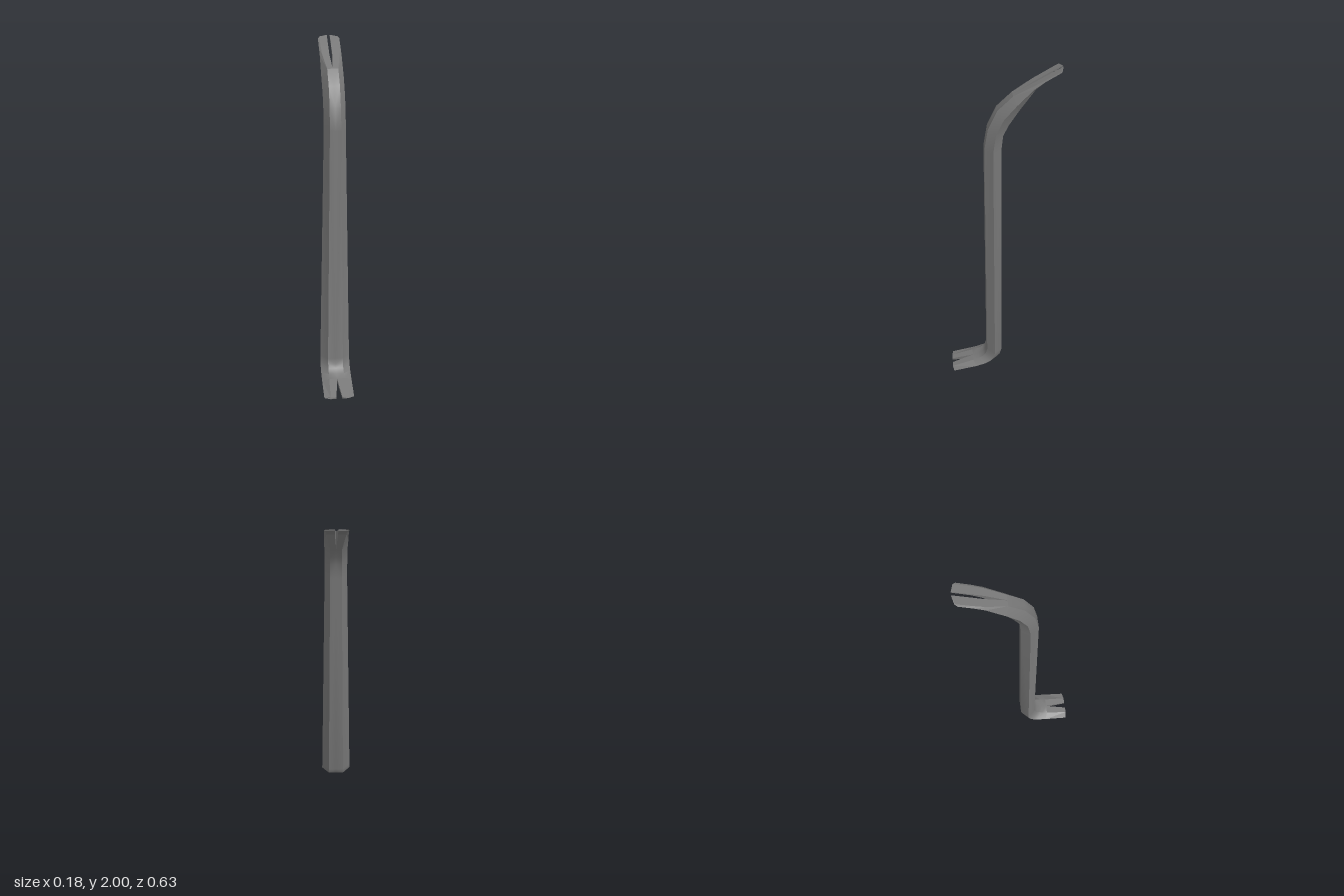
import * as THREE from 'three';
import { toCreasedNormals } from 'three/addons/utils/BufferGeometryUtils.js';

// Cross-sections from the foot claw to the head claw:
// front z, y | back z, y | half-widths of ridge, flat, slot | z setback of flat and ridge corners
const SECTIONS = [
  [0.312, 0.012, 0.312, 0.0, 0.088, 0.051, 0.017, 0, 0.007],
  [0.18, 0.05, 0.15, 0.018, 0.089, 0.047, 0, 0, 0],
  [0.145, 0.062, 0.07, 0.043, 0.089, 0.046, 0, 0, 0],
  [0.115, 0.08, 0.035, 0.062, 0.089, 0.045, 0, 0, 0],
  [0.1, 0.1, 0.012, 0.087, 0.089, 0.045, 0, 0, 0],
  [0.09, 0.135, 0.0, 0.13, 0.088, 0.045, 0, 0, 0],
  [0.09, 1.56, 0.0, 1.55, 0.06, 0.031, 0, 0, 0],
  [0.07, 1.68, -0.01, 1.64, 0.06, 0.03, 0, 0, 0],
  [0.02, 1.785, -0.04, 1.7, 0.06, 0.03, 0, 0, 0],
  [-0.06, 1.86, -0.09, 1.776, 0.061, 0.03, 0, 0, 0],
  [-0.165, 1.92, -0.172, 1.9, 0.06, 0.048, 0.008, 0, 0],
  [-0.22, 1.95, -0.222, 1.941, 0.06, 0.05, 0.008, 0, 0],
  [-0.312, 2.0, -0.314, 1.995, 0.06, 0.05, 0.008, -0.012, -0.024],
];
const LAST = SECTIONS.length - 1;

// Five points of one half of a bevelled section, from the slot round to the slot
function halfRing([fz, fy, bz, by, w, f, s, flatBack, ridgeBack], side) {
  // corners of the sloping head tip also drop as they are set back
  const p = (x, y, z, back) => [x * side, y + 0.55 * Math.min(0, back), z - back];
  return [
    p(s, fy, fz, 0), p(f, fy, fz, flatBack),
    p(w, (fy + by) / 2, (fz + bz) / 2, ridgeBack),
    p(f, by, bz, flatBack), p(s, by, bz, 0),
  ];
}

// Lofts the sections from first to last, mirrored in x
function loft(first, last, creaseDegrees) {
  const pos = [];
  for (const side of [1, -1]) {
    const tri = (a, b, c) => pos.push(...a, ...(side > 0 ? b : c), ...(side > 0 ? c : b));
    const rings = SECTIONS.map((section) => halfRing(section, side));
    for (let r = first; r < last; r++) {
      const lo = rings[r], hi = rings[r + 1];
      const slotted = SECTIONS[r][6] > 0 || SECTIONS[r + 1][6] > 0;
      // the fifth strip is the slot wall, only needed in the claws
      for (let i = 0; i < (slotted ? 5 : 4); i++) {
        const j = (i + 1) % 5;
        tri(lo[i], lo[j], hi[j]);
        tri(lo[i], hi[j], hi[i]);
      }
    }
    // claw tip caps
    const start = rings[0], end = rings[LAST];
    for (let i = 1; i < 4; i++) {
      if (first === 0) tri(start[0], start[i + 1], start[i]);
      if (last === LAST) tri(end[0], end[i], end[i + 1]);
    }
  }
  const geo = new THREE.BufferGeometry();
  geo.setAttribute('position', new THREE.Float32BufferAttribute(pos, 3));
  return toCreasedNormals(geo, THREE.MathUtils.degToRad(creaseDegrees));
}

export function createModel() {
  const group = new THREE.Group();
  group.name = 'pryBar';
  const steel = new THREE.MeshStandardMaterial({ color: 0x777777 });
  // bevelled shaft with soft bends, and crisp forged claws at both ends
  const parts = [
    ['footClaw', 0, 1, 8],
    ['shaft', 1, 9, 30],
    ['headClaw', 9, LAST, 8],
  ];
  for (const [name, first, last, crease] of parts) {
    const mesh = new THREE.Mesh(loft(first, last, crease), steel);
    mesh.name = name;
    group.add(mesh);
  }
  return group;
}
